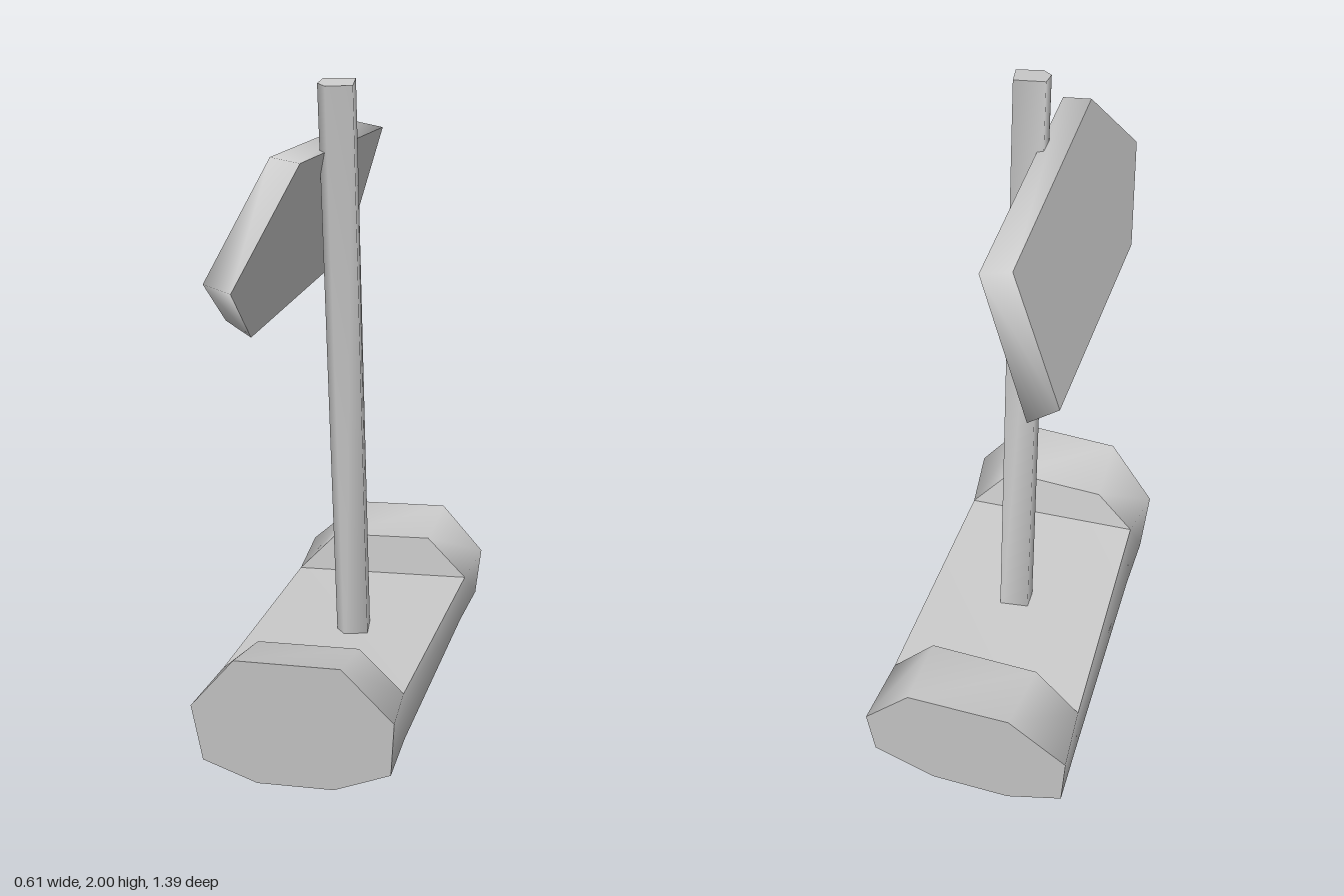
import * as THREE from 'three';
import { mergeGeometries, toCreasedNormals } from 'three/addons/utils/BufferGeometryUtils.js';

// Fan a polygon (corners [x, y, z] counter-clockwise from outside) into triangles.
function face(out, ...p) {
  for (let i = 1; i < p.length - 1; i++) out.push(...p[0], ...p[i], ...p[i + 1]);
}

// Bridge two rings that run counter-clockwise seen from the side of b.
function bridge(out, a, b, skip = []) {
  a.forEach((p, i) => {
    const j = (i + 1) % a.length;
    if (!skip.includes(i)) face(out, p, a[j], b[j], b[i]);
  });
}

// One mesh from a smoothly shaded skin and sharp-edged flat faces.
function part(name, skin, flats) {
  const layer = (positions, crease) => {
    const geometry = new THREE.BufferGeometry();
    geometry.setAttribute('position', new THREE.Float32BufferAttribute(positions, 3));
    return toCreasedNormals(geometry, crease);
  };
  const material = new THREE.MeshStandardMaterial({ color: 0xcccccc, side: THREE.DoubleSide });
  const mesh = new THREE.Mesh(mergeGeometries([layer(skin, Math.PI), layer(flats, 0.5)]), material);
  mesh.name = name;
  return mesh;
}

function cappedPart(name, a, b) {
  const skin = [], flats = [];
  bridge(skin, a, b);
  face(flats, ...[...a].reverse());
  face(flats, ...b);
  return part(name, skin, flats);
}

// Log: uneven octagonal sections from front to back, notched on top, open underneath.
function logBase() {
  // each section starts at the upper left seen from the front; z leans with height
  const section = (pts, z, lean) => pts.map(([x, y]) => [x, y, z + lean * y]);
  const front = section([[-0.16, 0.45], [0.155, 0.475], [0.302, 0.312], [0.287, 0.125],
    [0.115, 0.035], [-0.12, 0.012], [-0.285, 0.068], [-0.305, 0.265]], 0.492, 0.15);
  const notchFront = section([[-0.16, 0.4], [0.15, 0.425], [0.278, 0.288], [0.277, 0.12],
    [0.115, 0.03], [-0.12, 0.003], [-0.28, 0.065], [-0.277, 0.284]], 0.295, 0.14);
  const notchBack = section([[-0.16, 0.38], [0.16, 0.405], [0.29, 0.278], [0.28, 0.12],
    [0.115, 0.03], [-0.12, 0], [-0.285, 0.065], [-0.29, 0.235]], -0.455, -0.025);
  const back = section([[-0.14, 0.405], [0.16, 0.425], [0.303, 0.28], [0.29, 0.125],
    [0.115, 0.035], [-0.12, 0.015], [-0.288, 0.068], [-0.305, 0.25]], -0.645, -0.125);

  const skin = [], flats = [];
  const underside = 4;
  bridge(skin, front, notchFront, [underside]);
  bridge(skin, notchFront, notchBack, [underside, 7, 0, 1]);
  bridge(skin, notchBack, back, [underside]);
  face(flats, ...[...front].reverse());
  face(flats, ...back);
  // notch floor and its two end walls
  const upper = (s) => [s[7], s[0], s[1], s[2]];
  face(flats, notchBack[7], notchFront[7], notchFront[2], notchBack[2]);
  face(flats, ...upper(notchFront));
  face(flats, ...upper(notchBack).reverse());
  return part('log', skin, flats);
}

// Pole: five-sided and leaning forward, its foot sunk into the hollow log.
function pole() {
  const outline = [[-0.05, -0.035], [-0.05, 0.022], [-0.02, 0.052], [0.052, 0.032], [0.037, -0.05]];
  const ring = (y, z) => outline.map(([dx, dz]) => [0.02 + dx, y - 0.1 * dz, z + dz]);
  return cappedPart('pole', ring(0.06, -0.073), ring(1.995, 0.13));
}

// Arrow board: a thick plank tilted outward, its tip pointing forward.
function arrowBoard() {
  const near = [[1.555, 0.695], [1.822, 0.38], [1.768, -0.507], [1.352, -0.522], [1.343, 0.38]]
    .map(([y, z]) => [-0.005 - 0.3 * (1.825 - y), y, z]);
  const far = [[1.565, 0.662], [1.832, 0.37], [1.783, -0.5], [1.385, -0.49], [1.38, 0.365]]
    .map(([y, z]) => [-0.09 - 0.3 * (1.835 - y), y, z]);
  return cappedPart('arrowBoard', near, far);
}

export function createModel() {
  const model = new THREE.Group();
  model.name = 'signpost';
  model.add(logBase(), pole(), arrowBoard());
  return model;
}
